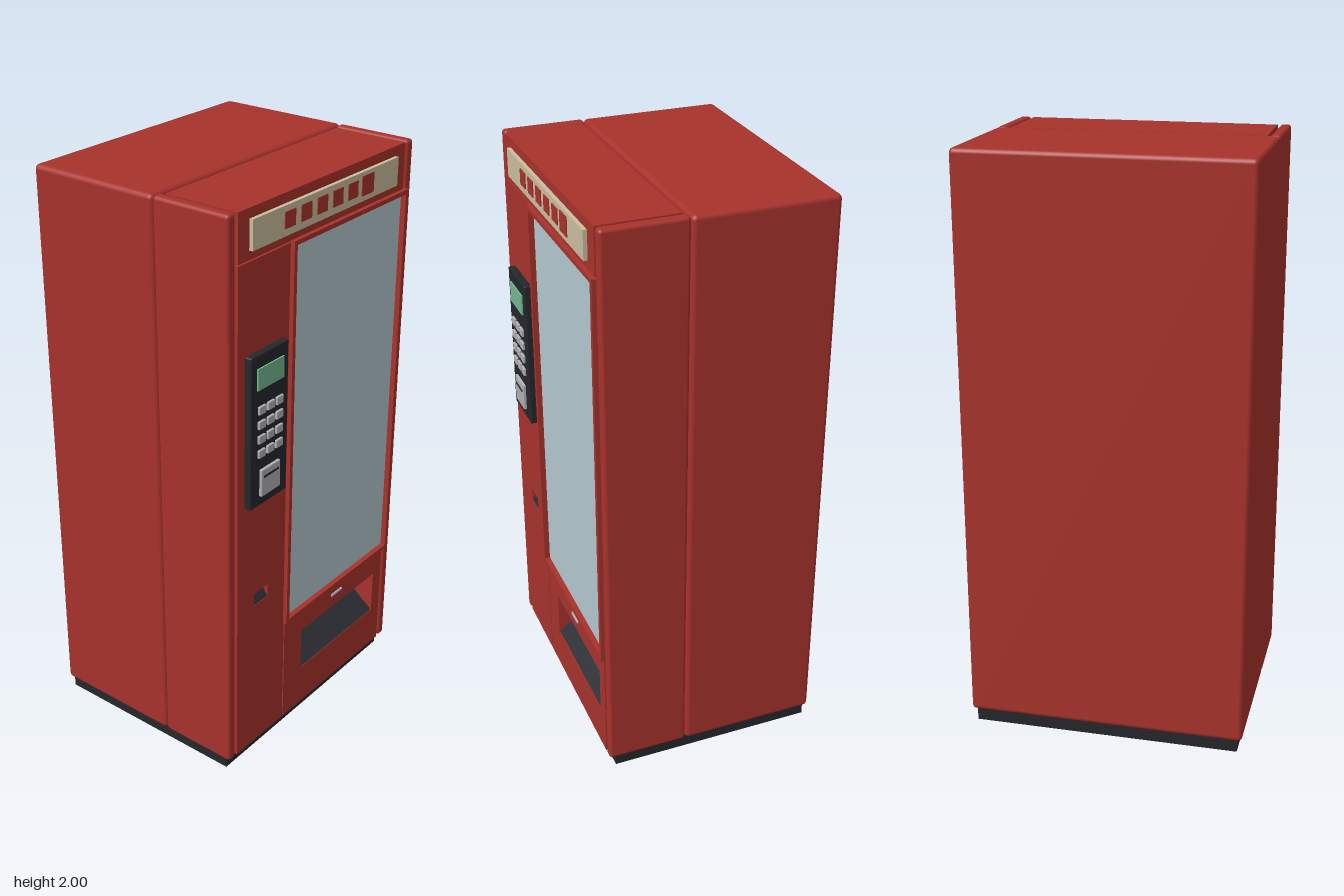
import * as THREE from 'three';
import { RoundedBoxGeometry } from 'three/addons/geometries/RoundedBoxGeometry.js';

const mat = (color, side = THREE.FrontSide) => {
  const m = new THREE.MeshStandardMaterial({ color });
  m.side = side;
  return m;
};

export function createModel() {
  const root = new THREE.Group();
  const red = mat(0xa8322c), dark = mat(0x25272b), cream = mat(0xcabf9f);
  const glass = mat(0xb4c8d0), green = mat(0x74b890), grey = mat(0xb0b0b4);
  const flapMat = mat(0x2a2c33, THREE.DoubleSide);

  const add = (name, geo, m, x = 0, y = 0, z = 0, parent = root) => {
    const mesh = new THREE.Mesh(geo, m);
    mesh.name = name;
    mesh.position.set(x, y, z);
    parent.add(mesh);
    return mesh;
  };
  // Box given by its extents, optionally with softened edges
  const box = (name, m, x0, x1, y0, y1, z0, z1, r = 0, parent = root) => {
    const s = [x1 - x0, y1 - y0, z1 - z0];
    const geo = r ? new RoundedBoxGeometry(...s, 2, r) : new THREE.BoxGeometry(...s);
    return add(name, geo, m, (x0 + x1) / 2, (y0 + y1) / 2, (z0 + z1) / 2, parent);
  };
  const rect = (path, x0, x1, y0, y1) => {
    path.moveTo(x0, y0);
    path.lineTo(x1, y0);
    path.lineTo(x1, y1);
    path.lineTo(x0, y1);
    path.closePath();
    return path;
  };
  // Panel with a rectangular opening right through it
  const holed = (name, m, outer, hole, z0, z1) => {
    const shape = rect(new THREE.Shape(), ...outer);
    shape.holes.push(rect(new THREE.Path(), ...hole));
    return add(name, new THREE.ExtrudeGeometry(shape, { depth: z1 - z0, bevelEnabled: false }), m, 0, 0, z0);
  };
  // Flap leaning back from the lower front edge of an opening
  const flap = (name, [x0, x1, y0, y1], z, depth) => {
    const h = y1 - y0;
    const mesh = add(name, new THREE.PlaneGeometry(x1 - x0, Math.hypot(h, depth)), flapMat,
      (x0 + x1) / 2, (y0 + y1) / 2, z - depth / 2);
    mesh.rotation.x = -Math.atan2(depth, h);
  };

  // Plinth, rear cabinet and front side pillars
  box('plinth', dark, -0.46, 0.46, 0, 0.045, -0.387, 0.335);
  box('cabinet', red, -0.478, 0.478, 0.045, 2, -0.4, 0.079, 0.016);
  for (const s of [-1, 1]) {
    const [a, b] = [s * 0.441, s * 0.478].sort((p, q) => p - q);
    box('sidePillar', red, a, b, 0.048, 2, 0.081, 0.362, 0.012);
  }

  // Front panels
  const back = 0.094, front = 0.36;
  box('headerPanel', red, -0.432, 0.432, 1.84, 1.997, back, front);
  const coin = [-0.345, -0.27, 0.62, 0.668];
  holed('controlPanel', red, [-0.432, -0.176, 0.05, 1.835], coin, back, front);
  flap('coinReturnFlap', coin, front - 0.002, 0.03);
  const slot = [-0.07, 0.383, 0.203, 0.365];
  holed('deliveryPanel', red, [-0.171, 0.432, 0.05, 0.463], slot, back, front);
  flap('deliveryFlap', slot, front - 0.002, 0.21);
  box('deliveryHandle', grey, 0.105, 0.17, 0.413, 0.423, front, 0.367, 0.003);

  // Display window
  box('windowGlass', glass, -0.17, 0.434, 0.467, 1.836, 0.088, 0.356);
  holed('windowFrame', red, [-0.18, 0.446, 0.46, 1.842], [-0.165, 0.43, 0.475, 1.827], 0.352, 0.375);

  // Header sign
  box('signPlate', cream, -0.38, 0.375, 1.87, 1.965, front, 0.373);
  for (let i = 0; i < 6; i++) {
    const x = -0.204 + i * 0.081, r = i === 5 ? 0.032 : 0.026;
    box('signSquare', red, x - r, x + r, 1.92 - r, 1.92 + r, 0.372, 0.376);
  }

  // Payment console
  const pad = new THREE.Group();
  pad.name = 'paymentConsole';
  root.add(pad);
  box('consolePlate', dark, -0.4, -0.214, 1.02, 1.543, front, 0.386, 0.005, pad);
  box('screen', green, -0.372, -0.242, 1.428, 1.5, 0.384, 0.391, 0, pad);
  for (let row = 0; row < 4; row++) {
    for (let col = 0; col < 3; col++) {
      const x = -0.35 + col * 0.044, y = 1.358 - row * 0.05;
      box('key', grey, x - 0.017, x + 0.017, y - 0.014, y + 0.014, 0.384, 0.394, 0.003, pad);
    }
  }
  box('cardReader', grey, -0.356, -0.26, 1.055, 1.15, 0.384, 0.396, 0.003, pad);
  box('cardSlot', dark, -0.345, -0.271, 1.121, 1.128, 0.394, 0.398, 0, pad);

  return root;
}
